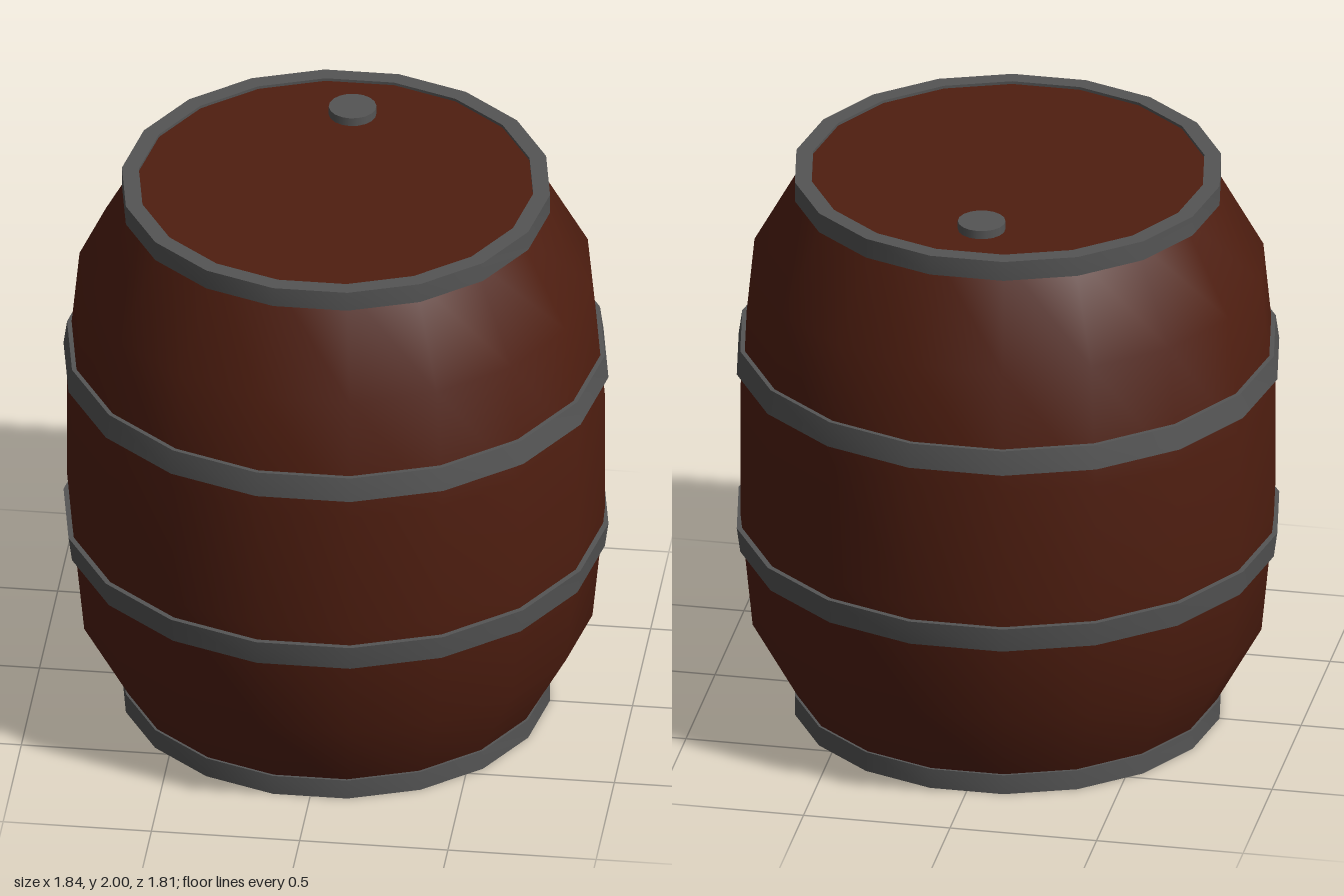
import * as THREE from 'three';
import { toCreasedNormals } from 'three/addons/utils/BufferGeometryUtils.js';

const SIDES = 18;

export function createModel() {
  const barrel = new THREE.Group();
  barrel.name = 'barrel';
  const wood = new THREE.MeshStandardMaterial({ color: 0x4f1e10 });
  const metal = new THREE.MeshStandardMaterial({ color: 0x555555 });

  const add = (name, geometry, material) => {
    const mesh = new THREE.Mesh(geometry, material);
    mesh.name = name;
    barrel.add(mesh);
    return mesh;
  };

  // Profile points are [radius, height], listed upwards; corners lie on the x axis
  const turn = (points) => new THREE.LatheGeometry(
    points.map(([r, y]) => new THREE.Vector2(r, y)), SIDES, Math.PI / 2);

  // Bulging staves, smooth all over
  add('staves', turn([
    [0.68, 0.01], [0.865, 0.345], [0.907, 0.77],
    [0.907, 1.21], [0.865, 1.635], [0.68, 1.97],
  ]), wood);

  // Flat ends, set just inside the rims
  for (const [name, y, tilt] of [['topHead', 1.97, -1], ['bottomHead', 0.01, 1]]) {
    const head = new THREE.CircleGeometry(0.69, SIDES).rotateX(tilt * Math.PI / 2);
    add(name, head, wood).position.y = y;
  }

  // Closed band: outer wall between two heights, with its own inner radius
  const hoop = (name, y0, y1, r0, r1, inner) => add(name, toCreasedNormals(turn([
    [inner, y0], [r0, y0], [r1, y1], [inner, y1], [inner, y0],
  ]), Math.PI / 6), metal);

  hoop('bottomRim', 0, 0.07, 0.722, 0.722, 0.665);
  hoop('lowerHoop', 0.62, 0.708, 0.907, 0.919, 0.87);
  hoop('upperHoop', 1.28, 1.365, 0.919, 0.907, 0.87);
  hoop('topRim', 1.91, 1.98, 0.722, 0.722, 0.665);

  // Bung near the back of the top
  const bung = new THREE.CylinderGeometry(0.08, 0.08, 0.04, SIDES);
  add('bung', bung, metal).position.set(0, 1.98, -0.455);

  return barrel;
}
